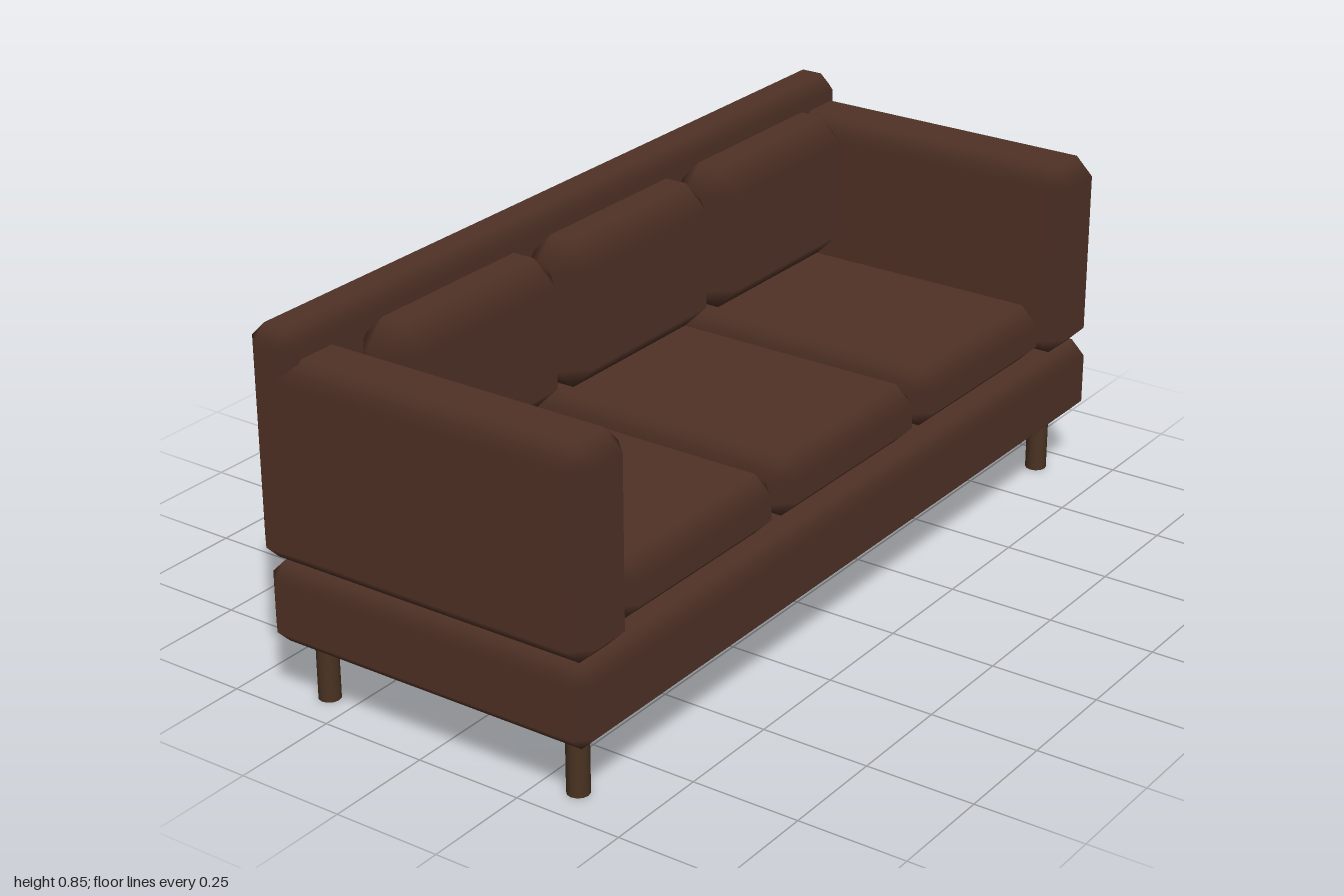
import * as THREE from 'three';

const leather = new THREE.MeshStandardMaterial({ color: 0x503226 });
const wood = new THREE.MeshStandardMaterial({ color: 0x4a3322 });

// Box with chamfered edges; the normals stay those of the flat faces so the chamfers shade softly
function bevelBox(w, h, d, bevel) {
  const geo = new THREE.BoxGeometry(w, h, d);
  const pos = geo.attributes.position, nor = geo.attributes.normal;
  const index = Array.from(geo.index.array);
  const corners = {}; // sign key + face axis -> vertex
  const key = (s, axis) => s.join() + '/' + axis;
  for (let i = 0; i < pos.count; i++) {
    const p = [pos.getX(i), pos.getY(i), pos.getZ(i)];
    const n = [nor.getX(i), nor.getY(i), nor.getZ(i)];
    const axis = n.findIndex((v) => Math.abs(v) > 0.5);
    const s = p.map(Math.sign);
    corners[key(s, axis)] = i;
    pos.setXYZ(i, ...p.map((v, k) => (k === axis ? v : v - s[k] * bevel)));
  }
  // Add a triangle, turned so that it faces away from the centre
  const at = (i) => new THREE.Vector3().fromBufferAttribute(pos, i);
  const tri = (a, b, c, out) => {
    const A = at(a);
    const n = at(b).sub(A).cross(at(c).sub(A));
    if (n.dot(out) > 0) index.push(a, b, c);
    else index.push(a, c, b);
  };
  // Edge chamfers
  for (let axis = 0; axis < 3; axis++) {
    const u = (axis + 1) % 3, v = (axis + 2) % 3;
    for (const su of [-1, 1]) for (const sv of [-1, 1]) {
      const s0 = [0, 0, 0];
      s0[u] = su; s0[v] = sv;
      const out = new THREE.Vector3(...s0);
      const s1 = s0.slice();
      s0[axis] = -1; s1[axis] = 1;
      const a = corners[key(s0, u)], b = corners[key(s1, u)];
      const c = corners[key(s1, v)], e = corners[key(s0, v)];
      tri(a, b, c, out);
      tri(a, c, e, out);
    }
  }
  // Corner triangles
  for (const x of [-1, 1]) for (const y of [-1, 1]) for (const z of [-1, 1]) {
    const s = [x, y, z];
    tri(...[0, 1, 2].map((k) => corners[key(s, k)]), new THREE.Vector3(x, y, z));
  }
  geo.setIndex(index);
  geo.clearGroups();
  return geo;
}

// Upholstered block given by its extents on each axis
function block(name, [x0, x1], [y0, y1], [z0, z1], bevel) {
  const mesh = new THREE.Mesh(bevelBox(x1 - x0, y1 - y0, z1 - z0, bevel), leather);
  mesh.position.set((x0 + x1) / 2, (y0 + y1) / 2, (z0 + z1) / 2);
  mesh.name = name;
  return mesh;
}

export function createModel() {
  const sofa = new THREE.Group();
  sofa.name = 'sofa';

  // Base and backrest
  sofa.add(block('base', [-1, 1], [0.142, 0.328], [-0.405, 0.422], 0.034));
  sofa.add(block('backrest', [-1, 1], [0.332, 0.853], [-0.422, -0.3], 0.035));

  // Armrests
  sofa.add(block('leftArm', [0.825, 1], [0.327, 0.792], [-0.4, 0.422], 0.042));
  sofa.add(block('rightArm', [-1, -0.825], [0.327, 0.792], [-0.4, 0.422], 0.042));

  // Three seat cushions, each with a back cushion
  ['right', 'middle', 'left'].forEach((side, i) => {
    const x = (i - 1) * 0.55;
    const span = [x - 0.268, x + 0.268];
    sofa.add(block(side + 'SeatCushion', span, [0.336, 0.473], [-0.31, 0.397], 0.043));
    sofa.add(block(side + 'BackCushion', span, [0.483, 0.827], [-0.312, -0.145], 0.057));
  });

  // Round legs
  const legGeo = new THREE.CylinderGeometry(0.025, 0.025, 0.15, 12);
  for (const x of [-0.912, 0.912]) for (const z of [-0.317, 0.336]) {
    const leg = new THREE.Mesh(legGeo, wood);
    leg.name = (z > 0 ? 'front' : 'back') + (x > 0 ? 'Left' : 'Right') + 'Leg';
    leg.position.set(x, 0.075, z);
    sofa.add(leg);
  }
  return sofa;
}
